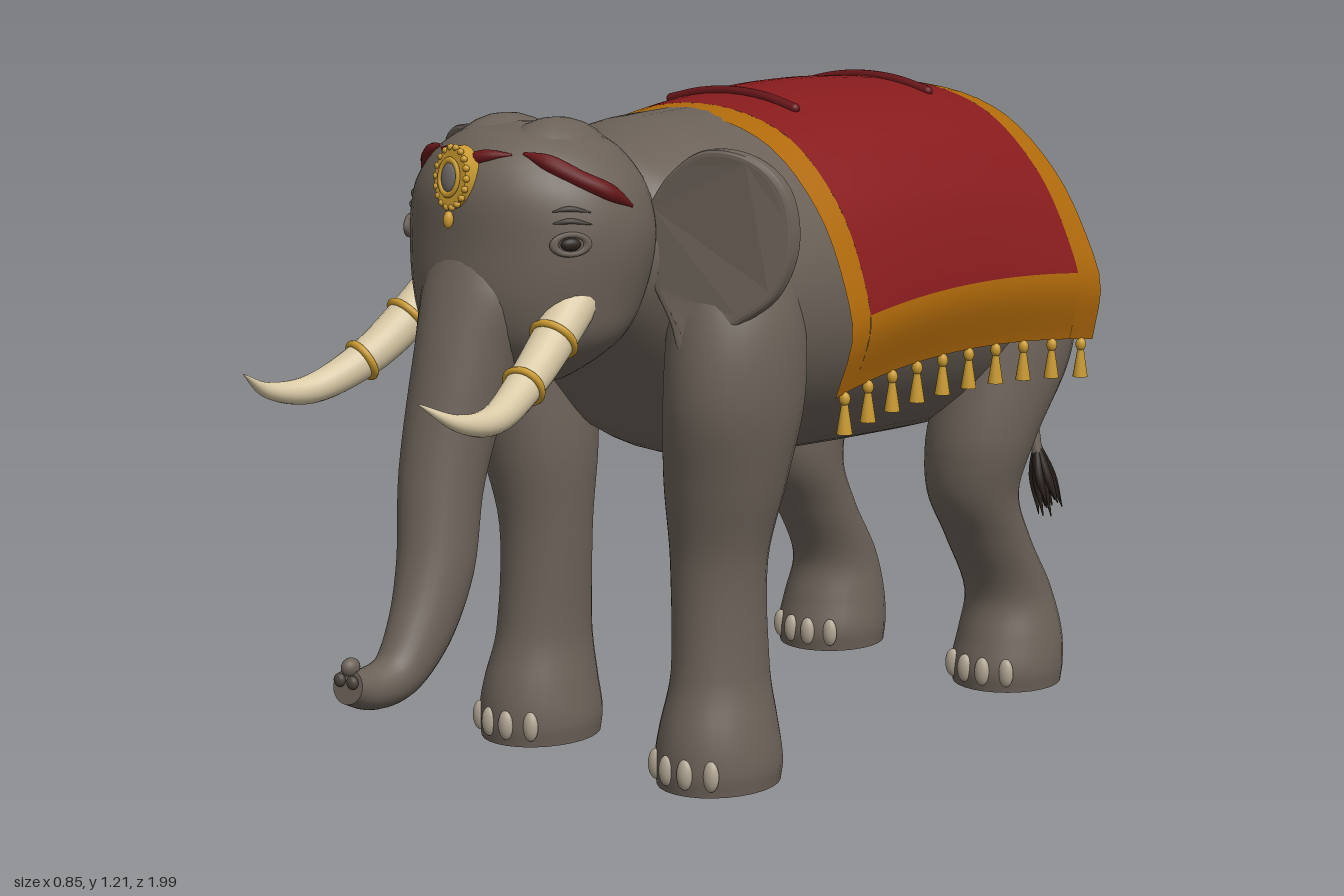
import * as THREE from 'three';

const mat = (name, color, side = THREE.FrontSide) => {
  const m = new THREE.MeshStandardMaterial({ color, side });
  m.name = name;
  return m;
};
const V = (x, y, z) => new THREE.Vector3(x, y, z);

// Smooth tube of elliptical rings; each section is [x, y, z, radiusU, radiusV].
// A fixed normal keeps all rings parallel, otherwise they follow the path.
function loft(sections, { normal = null, ref = V(1, 0, 0), steps = 6, sides = 28 } = {}) {
  const path = new THREE.CatmullRomCurve3(sections.map(s => V(s[0], s[1], s[2])));
  const size = new THREE.CatmullRomCurve3(sections.map(s => V(s[3], s[4], 0)), false, 'catmullrom', 0.5);
  const n = (sections.length - 1) * steps, pos = [], idx = [];
  for (let i = 0; i <= n; i++) {
    const c = path.getPoint(i / n), r = size.getPoint(i / n);
    const t = normal ? normal.clone() : path.getTangent(i / n);
    const u = ref.clone().addScaledVector(t, -ref.dot(t)).normalize();
    const v = t.clone().cross(u);
    for (let j = 0; j < sides; j++) {
      const a = (j / sides) * Math.PI * 2;
      const p = c.clone().addScaledVector(u, Math.cos(a) * Math.max(r.x, 0.0005))
        .addScaledVector(v, Math.sin(a) * Math.max(r.y, 0.0005));
      pos.push(p.x, p.y, p.z);
    }
  }
  for (let i = 0; i < n; i++) for (let j = 0; j < sides; j++) {
    const a = i * sides + j, b = i * sides + (j + 1) % sides;
    idx.push(a, b, b + sides, a, b + sides, a + sides);
  }
  // flat end caps with their own vertices
  for (const end of [0, n]) {
    const base = pos.length / 3, s = sections[end ? sections.length - 1 : 0];
    pos.push(...pos.slice(end * sides * 3, (end + 1) * sides * 3), s[0], s[1], s[2]);
    for (let j = 0; j < sides; j++) {
      const a = base + j, b = base + (j + 1) % sides;
      idx.push(base + sides, ...(end ? [a, b] : [b, a]));
    }
  }
  const g = new THREE.BufferGeometry();
  g.setAttribute('position', new THREE.Float32BufferAttribute(pos, 3));
  g.setIndex(idx);
  g.computeVertexNormals();
  return g;
}

export function createModel() {
  const root = new THREE.Group();
  root.name = 'elephant';
  const skin = mat('grey skin', 0x6b6158), red = mat('red cloth', 0x871b1d, THREE.DoubleSide);
  const trim = mat('golden border', 0xaf690a, THREE.DoubleSide), gold = mat('gold', 0xc9992f);
  const ivory = mat('ivory', 0xd9c9a6), nail = mat('toenail', 0xb3a795);
  const maroon = mat('dark red', 0x671619), dark = mat('dark hair', 0x2b221e);
  const gem = mat('grey stone', 0x6f6a68), crease = mat('dark skin', 0x4a433d);

  const add = (name, geo, m, p = [0, 0, 0], parent = root) => {
    const mesh = new THREE.Mesh(geo, m);
    mesh.name = name;
    mesh.position.set(...p);
    parent.add(mesh);
    return mesh;
  };
  const blob = (name, m, p, s, parent = root) => {
    const mesh = add(name, new THREE.SphereGeometry(1, 18, 12), m, p, parent);
    mesh.scale.set(...s);
    return mesh;
  };

  // Body and head
  add('body', loft([
    [0, 0.79, -0.887, 0.005, 0.005], [0, 0.79, -0.872, 0.09, 0.11], [0, 0.8, -0.825, 0.19, 0.215],
    [0, 0.8, -0.75, 0.265, 0.28], [0, 0.81, -0.6, 0.335, 0.305], [0, 0.83, -0.45, 0.35, 0.325],
    [0, 0.85, -0.2, 0.352, 0.335], [0, 0.855, 0.05, 0.35, 0.322], [0, 0.87, 0.2, 0.34, 0.3],
    [0, 0.91, 0.3, 0.28, 0.235], [0, 0.95, 0.38, 0.2, 0.185], [0, 0.96, 0.5, 0.1, 0.1],
  ], { normal: V(0, 0, 1), sides: 48 }), skin);
  const head = add('head', loft([
    [0, 0.735, 0.53, 0.01, 0.01], [0, 0.75, 0.53, 0.09, 0.075], [0, 0.82, 0.515, 0.185, 0.15],
    [0, 0.9, 0.5, 0.212, 0.19], [0, 1, 0.49, 0.226, 0.197], [0, 1.08, 0.495, 0.208, 0.187],
    [0, 1.14, 0.5, 0.16, 0.155], [0, 1.175, 0.505, 0.1, 0.1], [0, 1.187, 0.505, 0.01, 0.01],
  ], { normal: V(0, 1, 0), sides: 48 }), skin);
  for (const x of [-0.058, 0.058]) blob('skullDome', skin, [x, 1.11, 0.495], [0.088, 0.087, 0.12]);

  // Finds a point on the head at an angle round its vertical axis
  const ray = new THREE.Raycaster();
  const onHead = (deg, y) => {
    const a = deg * Math.PI / 180, d = V(Math.sin(a), 0, Math.cos(a));
    ray.set(V(d.x * 2, y, 0.49 + d.z * 2), d.clone().negate());
    return ray.intersectObject(head)[0].point;
  };
  const band = (name, m, pts, r) => add(name, loft(pts.map(([deg, y], i) =>
    [...onHead(deg, y).toArray(), ...Array(2).fill(i === 0 || i === pts.length - 1 ? r * 0.2 : r)]),
    { ref: V(0, 1, 0), sides: 10 }), m);

  // Trunk curling forward at the tip
  add('trunk', loft([
    [0, 1, 0.61, 0.03, 0.03], [0, 0.965, 0.615, 0.085, 0.07], [0, 0.9, 0.625, 0.107, 0.088],
    [0, 0.8, 0.66, 0.088, 0.09], [0, 0.6, 0.722, 0.073, 0.076], [0.015, 0.45, 0.757, 0.064, 0.07],
    [0.025, 0.35, 0.808, 0.052, 0.06], [0.03, 0.288, 0.87, 0.043, 0.045],
    [0.03, 0.277, 0.93, 0.038, 0.037], [0.03, 0.29, 0.98, 0.034, 0.03],
  ]), skin);
  blob('trunkFinger', skin, [0.03, 0.322, 0.973], [0.014, 0.016, 0.018]);
  for (const x of [0.015, 0.045]) blob('nostril', crease, [x, 0.3, 0.984], [0.011, 0.012, 0.009]);

  // Forehead band and pendant
  band('foreheadBand', maroon, [[-31, 1.145], [-15, 1.142], [0, 1.132], [15, 1.142], [31, 1.145]], 0.011);
  const pendant = new THREE.Group();
  pendant.name = 'pendant';
  pendant.position.set(0, 1.105, 0.677);
  pendant.rotation.x = -0.12;
  root.add(pendant);
  const plate = add('pendantPlate', new THREE.CylinderGeometry(0.036, 0.04, 0.03, 28), gold, [0, 0, 0], pendant);
  plate.rotation.x = Math.PI / 2;
  plate.scale.z = 1.4;
  for (let i = 0; i < 18; i++) {
    const a = (i / 18) * Math.PI * 2;
    blob('pendantBead', gold, [Math.cos(a) * 0.035, Math.sin(a) * 0.051, 0.012], [0.006, 0.006, 0.006], pendant);
  }
  const rim = add('stoneRim', new THREE.TorusGeometry(0.021, 0.004, 8, 24), gold, [0, 0, 0.018], pendant);
  rim.scale.y = 1.4;
  blob('pendantStone', gem, [0, 0, 0.015], [0.019, 0.027, 0.009], pendant);
  blob('pendantDrop', gold, [0, -0.071, 0.012], [0.009, 0.015, 0.009], pendant);

  // Ear outline, flared and cupped backwards
  const earShape = new THREE.Shape();
  earShape.moveTo(0.18, 1.03);
  earShape.splineThru([[0.22, 1.09], [0.28, 1.132], [0.35, 1.122], [0.395, 1.07], [0.403, 0.98], [0.375, 0.9],
    [0.325, 0.857], [0.275, 0.825], [0.247, 0.802], [0.225, 0.85], [0.18, 0.93]].map(p => new THREE.Vector2(...p)));
  const earGeo = side => {
    const g = new THREE.ExtrudeGeometry(earShape, {
      depth: 0.014, bevelThickness: 0.009, bevelSize: 0.012, bevelSegments: 3, curveSegments: 40 });
    const p = g.attributes.position;
    for (let i = 0; i < p.count; i++) {
      const x = p.getX(i), y = p.getY(i), k = (x - 0.19) / 0.22;
      p.setXYZ(i, x * side, y, p.getZ(i) + 0.36 - 0.085 * k + 0.6 * (y - 0.98) ** 2);
    }
    if (side < 0) for (let i = 0; i < p.count; i += 3) {
      const a = V().fromBufferAttribute(p, i + 1), b = V().fromBufferAttribute(p, i + 2);
      p.setXYZ(i + 1, b.x, b.y, b.z);
      p.setXYZ(i + 2, a.x, a.y, a.z);
    }
    g.computeVertexNormals();
    return g;
  };

  // Leg sections, foot to shoulder or hip
  const frontLeg = [[0.228, 0, 0.25, 0.105, 0.12], [0.228, 0.04, 0.25, 0.109, 0.124], [0.228, 0.1, 0.25, 0.1, 0.117],
    [0.225, 0.2, 0.242, 0.082, 0.098], [0.22, 0.4, 0.24, 0.085, 0.09], [0.235, 0.55, 0.24, 0.106, 0.115],
    [0.255, 0.7, 0.24, 0.114, 0.14], [0.25, 0.85, 0.23, 0.11, 0.13], [0.22, 0.98, 0.21, 0.08, 0.09],
    [0.2, 1.03, 0.2, 0.01, 0.01]];
  const hindLeg = [[0.23, 0, -0.637, 0.104, 0.112], [0.23, 0.04, -0.637, 0.108, 0.116], [0.23, 0.1, -0.645, 0.1, 0.108],
    [0.227, 0.18, -0.642, 0.084, 0.09], [0.225, 0.3, -0.572, 0.083, 0.082], [0.225, 0.4, -0.52, 0.09, 0.088],
    [0.235, 0.5, -0.527, 0.105, 0.107], [0.248, 0.65, -0.59, 0.113, 0.142], [0.245, 0.76, -0.615, 0.113, 0.145],
    [0.235, 0.82, -0.625, 0.1, 0.115], [0.22, 0.865, -0.625, 0.01, 0.01]];
  const tuskPath = [[0.162, 0.91, 0.545, 0.039, 0.039], [0.172, 0.845, 0.622, 0.038, 0.038], [0.19, 0.78, 0.715, 0.033, 0.033],
    [0.215, 0.738, 0.82, 0.025, 0.025], [0.223, 0.748, 0.91, 0.014, 0.014], [0.205, 0.787, 0.98, 0.001, 0.001]];

  for (const s of [1, -1]) {
    const side = s > 0 ? 'left' : 'right';
    const flip = secs => secs.map(([x, ...rest]) => [x * s, ...rest]);
    add(side + 'Ear', earGeo(s), skin);

    // Legs, with the left pair a little ahead
    for (const [name, secs] of [['FrontLeg', frontLeg], ['HindLeg', hindLeg]]) {
      const leg = new THREE.Group();
      leg.name = side + name;
      leg.position.z = 0.012 * s;
      root.add(leg);
      add('limb', loft(flip(secs), { normal: V(0, 1, 0) }), skin, [0, 0, 0], leg);
      for (const dx of [-0.064, -0.021, 0.021, 0.064])
        blob('toenail', nail, [s * (0.228 + dx), 0.04, secs[1][2] + secs[1][4] * Math.sqrt(1 - (dx / 0.11) ** 2) - 0.003],
          [0.016, 0.028, 0.012], leg);
    }

    // Tusk with two gold rings
    add(side + 'Tusk', loft(flip(tuskPath), { sides: 20 }), ivory);
    const curve = new THREE.CatmullRomCurve3(flip(tuskPath).map(p => V(p[0], p[1], p[2])));
    for (const [t, r] of [[0.21, 0.038], [0.41, 0.033]]) {
      const ring = add('tuskRing', new THREE.TorusGeometry(r, 0.007, 8, 24), gold, curve.getPoint(t).toArray());
      ring.lookAt(curve.getPoint(t).add(curve.getTangent(t)));
    }

    // Painted brow, eye and wrinkles
    band(side + 'Brow', maroon, [[38 * s, 1.147], [52 * s, 1.132], [68 * s, 1.105], [82 * s, 1.08], [94 * s, 1.055]], 0.015);
    for (const y of [1.035, 1.055])
      band('eyeWrinkle', crease, [[52 * s, y], [60 * s, y + 0.004], [70 * s, y - 0.003]], 0.005);
    const eye = new THREE.Group();
    eye.name = side + 'Eye';
    eye.position.copy(onHead(60 * s, 1.0));
    eye.rotation.y = 60 * s * Math.PI / 180;
    root.add(eye);
    blob('eyeball', dark, [0, 0, 0], [0.018, 0.011, 0.008], eye);
    const lid = add('eyelid', new THREE.TorusGeometry(0.021, 0.006, 8, 20), skin, [0, 0, 0], eye);
    lid.scale.set(1.4, 0.8, 1);
  }

  // Blanket draped over the back: s runs across (-1..1), n runs along (-1 back, 1 front)
  const half = [[0.2, 1.16], [0.325, 1.04], [0.387, 0.9], [0.402, 0.82], [0.37, 0.7]];
  const drape = new THREE.CatmullRomCurve3([...half.map(([x, y]) => V(-x, y, 0)).reverse(),
    V(0, 1.205, 0), ...half.map(([x, y]) => V(x, y, 0))]);
  const cloth = (s, n, lift = 0) => {
    const p = drape.getPointAt((s + 1) / 2), k = s * s;
    p.x *= 1 + 0.09 * n * n * k;
    p.y += lift - 0.034 * n * n * (1 - k) + 0.025 * (1 - n * n) * k * k;
    p.z = -0.255 + 0.01 * k + n * (0.355 + 0.045 * k);
    return p;
  };
  const patch = (name, m, s0, s1, n0, n1) => {
    const g = new THREE.PlaneGeometry(1, 1, 40, 20), p = g.attributes.position;
    for (let i = 0; i < p.count; i++) {
      const c = cloth(s0 + (s1 - s0) * (p.getX(i) + 0.5), n1 + (n0 - n1) * (p.getY(i) + 0.5));
      p.setXYZ(i, c.x, c.y, c.z);
    }
    g.computeVertexNormals();
    add(name, g, m);
  };
  patch('blanket', red, -0.8, 0.8, -0.84, 0.84);
  patch('blanketFrontBorder', trim, -1, 1, 0.84, 1);
  patch('blanketBackBorder', trim, -1, 1, -1, -0.84);
  patch('blanketLeftBorder', trim, 0.8, 1, -0.84, 0.84);
  patch('blanketRightBorder', trim, -1, -0.8, -0.84, 0.84);

  // Raised red cords across the back
  for (const n of [-0.55, 0.58]) {
    const pts = [-0.2, -0.1, 0, 0.1, 0.2].map(s => cloth(s, n, 0.002));
    add('backCord', new THREE.TubeGeometry(new THREE.CatmullRomCurve3(pts), 24, 0.01, 10), maroon);
    for (const e of [pts[0], pts[4]]) blob('cordEnd', maroon, e.toArray(), [0.01, 0.01, 0.01]);
  }

  // Tassels along both hems
  for (const s of [1, -1]) for (let i = 0; i < 10; i++) {
    const p = cloth(s, -0.92 + i * 0.204);
    blob('tasselKnot', gold, [p.x, p.y - 0.01, p.z], [0.01, 0.013, 0.01]);
    add('tassel', new THREE.CylinderGeometry(0.006, 0.015, 0.055, 10), gold, [p.x, p.y - 0.045, p.z]);
  }

  // Tail and its tuft
  add('tail', loft([[0.01, 0.9, -0.83, 0.035, 0.035], [0.015, 0.875, -0.885, 0.028, 0.028], [0.02, 0.79, -0.93, 0.022, 0.022],
    [0.03, 0.65, -0.955, 0.018, 0.018], [0.045, 0.5, -0.955, 0.014, 0.014], [0.07, 0.385, -0.95, 0.011, 0.011]],
  { sides: 16 }), skin);
  for (let i = 0; i < 12; i++) {
    const a = i * 2.4, r = 0.028 * Math.sqrt(i / 11), c = Math.cos(a) * r, d = Math.sin(a) * r;
    add('tailTuft', loft([[0.067, 0.41, -0.95, 0.005, 0.005], [0.078 + c * 0.8, 0.335, -0.96 + d * 0.8, 0.009, 0.009],
      [0.092 + c, 0.252 + (i % 3) * 0.015, -0.972 + d, 0.001, 0.001]], { sides: 8 }), dark);
  }
  return root;
}
